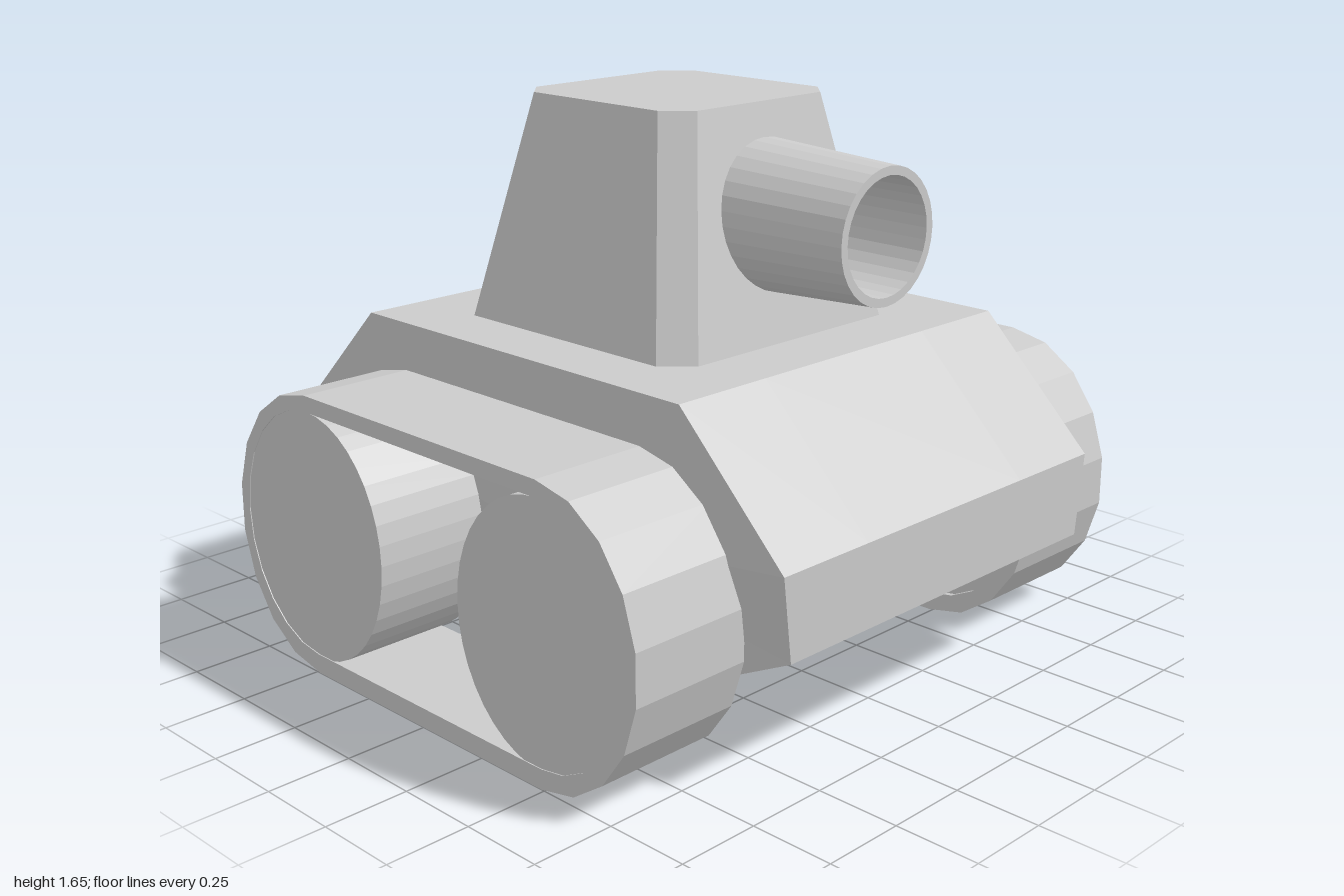
import * as THREE from 'three';

const grey = new THREE.MeshStandardMaterial({ color: 0xcccccc, flatShading: true });
const greyOpen = new THREE.MeshStandardMaterial({ color: 0xcccccc, flatShading: true, side: THREE.DoubleSide });

// Skins a list of rings (arrays of [x, y, z]) and caps both ends.
// Each ring runs counter-clockwise seen from the last ring's end.
function loft(rings) {
  const n = rings[0].length;
  const pos = [];
  const tri = (a, b, c) => pos.push(...a, ...b, ...c);
  for (let i = 0; i < rings.length - 1; i++) {
    for (let j = 0; j < n; j++) {
      const k = (j + 1) % n;
      tri(rings[i][j], rings[i][k], rings[i + 1][k]);
      tri(rings[i][j], rings[i + 1][k], rings[i + 1][j]);
    }
  }
  const centre = (r) => [0, 1, 2].map((a) => r.reduce((s, p) => s + p[a], 0) / n);
  const first = rings[0], last = rings[rings.length - 1];
  const c0 = centre(first), c1 = centre(last);
  for (let j = 0; j < n; j++) {
    const k = (j + 1) % n;
    tri(c0, first[k], first[j]);
    tri(c1, last[j], last[k]);
  }
  const g = new THREE.BufferGeometry();
  g.setAttribute('position', new THREE.Float32BufferAttribute(pos, 3));
  g.computeVertexNormals();
  return g;
}

function addMesh(parent, name, geometry, material = grey) {
  const mesh = new THREE.Mesh(geometry, material);
  mesh.name = name;
  parent.add(mesh);
  return mesh;
}

// Hull side profile at one x station; the outer ends taper in and dip at the corners
function hullRing(x, isEnd) {
  const low = isEnd ? [0.2, 0.6] : [0.288, 0.77];
  const half = [[1, 0.64], [0.64, 1], [0.4, 1], low, [0.28, 0.25]];
  const profile = [...half, ...half.slice().reverse().map(([y, z]) => [y, -z])];
  return profile.map(([y, z]) => {
    const inset = !isEnd || y >= 0.64 ? 0 : y >= 0.4 ? 0.03 : 0.05;
    return [x - Math.sign(x) * inset, y, z];
  });
}

// Rectangle with chamfered corners at height y
function turretRing(y, hx, hz, cz, cut) {
  return [
    [hx - cut, hz], [hx, hz - cut], [hx, cut - hz], [hx - cut, -hz],
    [cut - hx, -hz], [-hx, cut - hz], [-hx, hz - cut], [cut - hx, hz],
  ].map(([x, z]) => [x + 0.005, y, z + cz]);
}

// Stadium outline with elliptical ends
function stadium(Target, zc, yc, rz, ry, steps) {
  const path = new Target();
  for (const side of [1, -1]) {
    for (let i = 0; i <= steps; i++) {
      const a = -Math.PI / 2 + (Math.PI * i) / steps;
      const u = side * (zc + rz * Math.cos(a)), v = yc + side * ry * Math.sin(a);
      if (side === 1 && i === 0) path.moveTo(u, v);
      else path.lineTo(u, v);
    }
  }
  path.closePath();
  return path;
}

function buildTrack(side) {
  const track = new THREE.Group();
  track.name = side > 0 ? 'leftTrack' : 'rightTrack';

  // Belt: hollow stadium band
  const band = stadium(THREE.Shape, 0.49, 0.43, 0.358, 0.423, 9);
  band.holes.push(stadium(THREE.Path, 0.49, 0.435, 0.318, 0.37, 12));
  const beltGeo = new THREE.ExtrudeGeometry(band, { depth: 0.38, bevelEnabled: false });
  beltGeo.translate(0, 0, -0.19).rotateY(Math.PI / 2);
  addMesh(track, 'belt', beltGeo).position.x = side * 0.81;

  // Two slightly oval wheels inside the belt
  for (const end of [1, -1]) {
    const wheelGeo = new THREE.CylinderGeometry(1, 1, 0.36, 40);
    wheelGeo.rotateZ(Math.PI / 2).scale(1, 0.375, 0.325);
    const wheel = addMesh(track, end > 0 ? 'frontWheel' : 'rearWheel', wheelGeo);
    wheel.position.set(side * 0.817, 0.43, end * 0.49);
  }
  return track;
}

export function createModel() {
  const model = new THREE.Group();
  model.name = 'tank';

  // Hull
  addMesh(model, 'hull', loft([
    hullRing(-0.65, true), hullRing(-0.33, false), hullRing(0.33, false), hullRing(0.65, true),
  ]));

  // Turret
  addMesh(model, 'turret', loft([
    turretRing(0.99, 0.462, 0.462, -0.02, 0.08),
    turretRing(1.655, 0.325, 0.325, -0.018, 0.075),
  ]));

  // Barrel: open tapered tube with a rounded-in lip
  const barrelProfile = [[0.216, 0.28], [0.19, 0.77], [0.165, 0.77], [0.165, 0.3]]
    .map(([r, z]) => new THREE.Vector2(r, z));
  const barrelGeo = new THREE.LatheGeometry(barrelProfile, 32);
  barrelGeo.rotateX(Math.PI / 2);
  addMesh(model, 'barrel', barrelGeo, greyOpen).position.y = 1.345;

  // Tracks
  for (const side of [1, -1]) model.add(buildTrack(side));
  return model;
}
